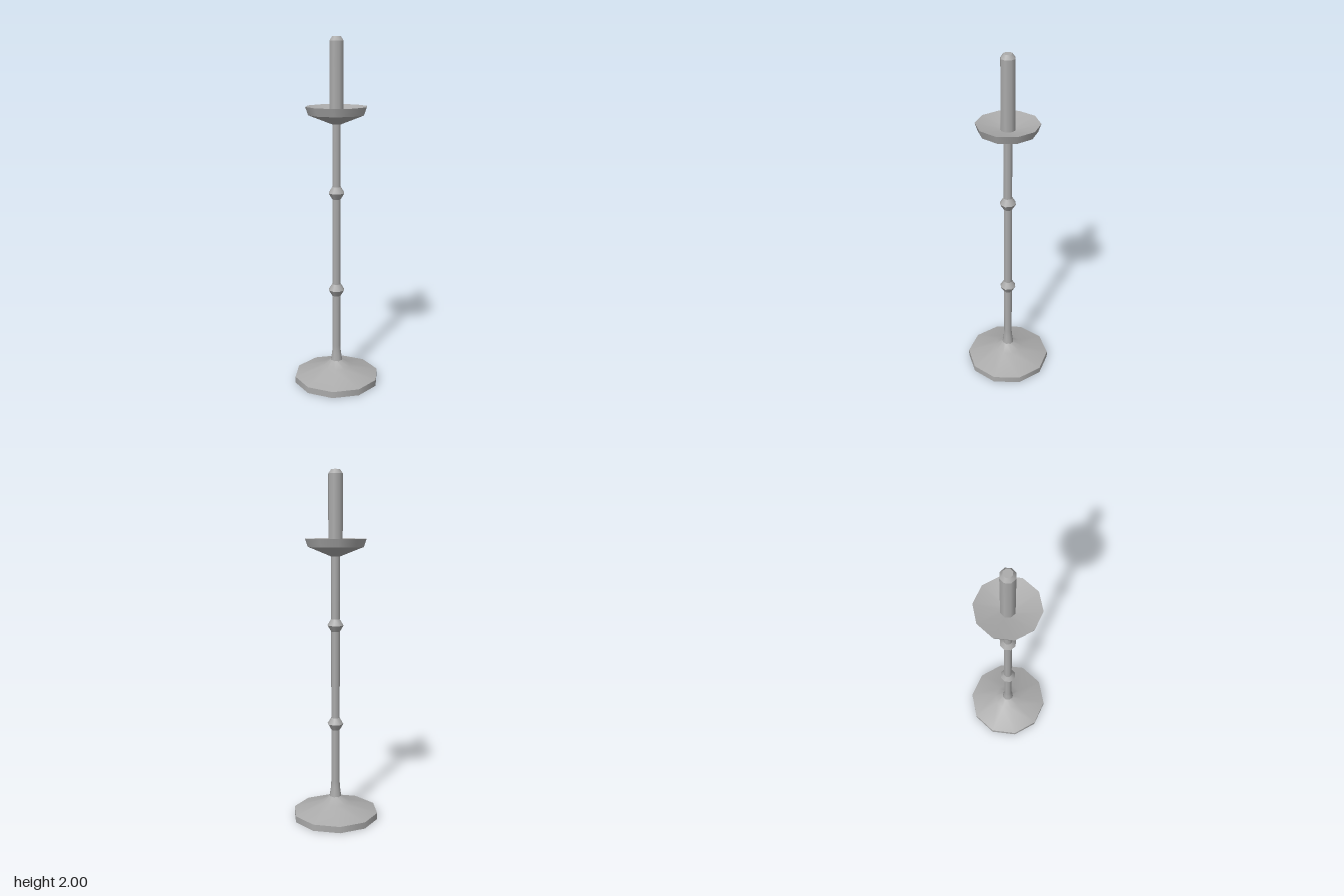
import * as THREE from 'three';

export function createModel() {
  const group = new THREE.Group();
  group.name = 'candlestick';
  const metal = new THREE.MeshStandardMaterial({ color: 0xababab });
  metal.name = 'grey metal';

  // Each run of [radius, y] points is smooth; separate runs meet in a sharp edge.
  function turned(name, sides, runs) {
    const part = new THREE.Group();
    part.name = name;
    runs.forEach((run, i) => {
      const points = run.map(([r, y]) => new THREE.Vector2(r, y));
      const mesh = new THREE.Mesh(new THREE.LatheGeometry(points, sides, Math.PI / 2), metal);
      mesh.name = `${name}Surface${i + 1}`;
      part.add(mesh);
    });
    group.add(part);
  }

  // Ten-sided foot with a swept upper face
  turned('foot', 10, [
    [[0, 0], [0.25, 0]],
    [[0.25, 0], [0.25, 0.037]],
    [[0.25, 0.037], [0.085, 0.09], [0.034, 0.127]],
  ]);

  // Slender stem with two sharp-edged knops
  const knops = [0.565, 1.14];
  const stemRuns = [];
  let run = [[0.036, 0.12], [0.027, 0.18], [0.025, 0.22]];
  for (const y of knops) {
    run.push([0.025, y - 0.036]);
    stemRuns.push(run, [[0.025, y - 0.036], [0.047, y]], [[0.047, y], [0.025, y + 0.036]]);
    run = [[0.025, y + 0.036]];
  }
  run.push([0.025, 1.535]);
  stemRuns.push(run);
  turned('stem', 8, stemRuns);

  // Shallow drip pan, hollow on top
  turned('dripPan', 10, [
    [[0, 1.528], [0.028, 1.528]],
    [[0.028, 1.528], [0.16, 1.58]],
    [[0.16, 1.58], [0.175, 1.625]],
    [[0.175, 1.625], [0.04, 1.59], [0, 1.588]],
  ]);

  // Candle with a bevelled top
  turned('candle', 8, [
    [[0.041, 1.58], [0.041, 1.977]],
    [[0.041, 1.977], [0.025, 2]],
    [[0.025, 2], [0, 2]],
  ]);
  return group;
}
